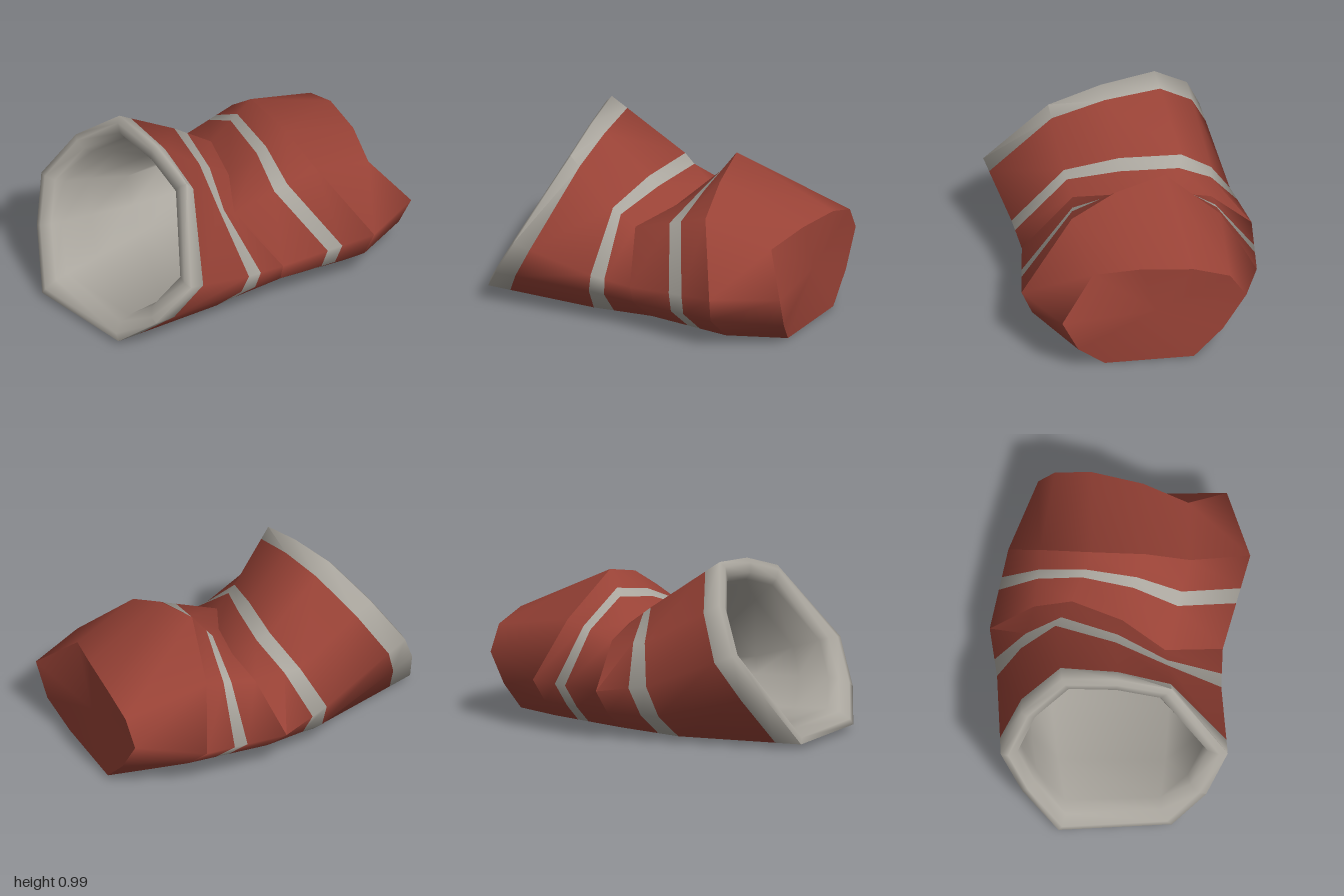
import * as THREE from 'three';
import { toCreasedNormals } from 'three/addons/utils/BufferGeometryUtils.js';

// Key cross-sections, ten points each: over the top, down the front, under, up the back
const mouth = [
  [-.48, .99, -.22], [-.41, .96, .08], [-.37, .87, .37], [-.52, .44, .715], [-.69, .2, .63],
  [-.84, .03, .47], [-1, .03, -.13], [-.92, .32, -.35], [-.82, .55, -.49], [-.65, .8, -.41]];
const middle = [
  [-.08, .7, -.34], [-.1, .68, 0], [-.14, .59, .3], [-.1, .3, .59], [-.13, .19, .56],
  [-.2, .02, .4], [-.32, .02, -.38], [-.31, .15, -.53], [-.3, .33, -.62], [-.19, .54, -.51]];
const crease = [
  [.12, .58, -.29], [.08, .55, 0], [-.02, .49, .26], [.13, .27, .55], [.13, .17, .52],
  [.13, .02, .33], [.08, .02, -.41], [.03, .13, -.57], [-.02, .28, -.72], [.07, .52, -.49]];
const ridge = [
  [.33, .84, -.22], [.4, .78, .06], [.46, .66, .3], [.67, .33, .59], [.64, .18, .53],
  [.61, .015, .33], [.58, .015, -.39], [.5, .13, -.56], [.45, .28, -.715], [.37, .6, -.52]];
const end = [
  [.88, .575, -.34], [.87, .58, -.05], [.83, .53, .21], [1, .33, .39], [.97, .14, .3],
  [.9, 0, .15], [.88, .01, -.34], [.86, .17, -.5], [.84, .37, -.63], [.86, .51, -.54]];

const mix = (a, b, t) => a.map((p, i) => p.map((v, k) => v + (b[i][k] - v) * t));
const centre = (ring) => [0, 1, 2].map((k) => ring.reduce((s, p) => s + p[k], 0) / ring.length);
const shrink = (ring, s) => {
  const c = centre(ring);
  return ring.map((p) => p.map((v, k) => c[k] + (v - c[k]) * s));
};

// Smooth skin over a list of rings; materials alternate band by band
function loft(rings) {
  const n = rings[0].length;
  const index = [];
  const geometry = new THREE.BufferGeometry();
  for (let j = 0; j < rings.length - 1; j++) {
    geometry.addGroup(index.length, n * 6, j % 2);
    for (let i = 0; i < n; i++) {
      const a = j * n + i, b = j * n + (i + 1) % n;
      index.push(a, b, a + n, b, b + n, a + n);
    }
  }
  geometry.setAttribute('position', new THREE.Float32BufferAttribute(rings.flat(2), 3));
  geometry.setIndex(index);
  return toCreasedNormals(geometry, 1.6);
}

// Fan of triangles closing a ring
function fan(ring) {
  const n = ring.length;
  const index = ring.flatMap((_, i) => [n, i, (i + 1) % n]);
  const geometry = new THREE.BufferGeometry();
  geometry.setAttribute('position', new THREE.Float32BufferAttribute([...ring, centre(ring)].flat(), 3));
  geometry.setIndex(index);
  return toCreasedNormals(geometry, 1);
}

export function createModel() {
  const red = new THREE.MeshStandardMaterial({ color: 0x984236 });
  red.name = 'brick red';
  const grey = new THREE.MeshStandardMaterial({ color: 0xaaa69e });
  grey.name = 'warm grey';

  const model = new THREE.Group();
  model.name = 'bentSleeve';
  const add = (name, geometry, material) => {
    const mesh = new THREE.Mesh(geometry, material);
    mesh.name = name;
    model.add(mesh);
  };

  // Lining, running out over the rounded lip to the rim's outer edge
  const liningEnd = shrink(crease, .8);
  const rimEdge = mix(mouth, middle, .21);
  add('liningAndRim', loft([
    liningEnd,
    shrink(middle, .82),
    shrink(mix(mouth, middle, .5), .83),
    shrink(mix(mouth, middle, .13), .81),
    shrink(mix(mouth, middle, .03), .84),
    shrink(mix(mouth, middle, -.02), .93),
    mouth,
    rimEdge,
  ]), [grey, grey]);
  add('liningBottom', fan([...liningEnd].reverse()), grey);

  // Upper sleeve with its stripe, down to the crease
  add('upperSleeve', loft([rimEdge, middle, mix(middle, crease, .35), crease]), [red, grey]);

  // Fold with the second stripe, rising from the crease to the ridge
  add('fold', loft([crease, mix(crease, ridge, .49), mix(crease, ridge, .65), ridge]), [red, grey]);

  // Lower sleeve and its flat end
  add('lowerSleeve', loft([ridge, end]), [red, red]);
  add('endCap', fan(end), red);
  return model;
}
